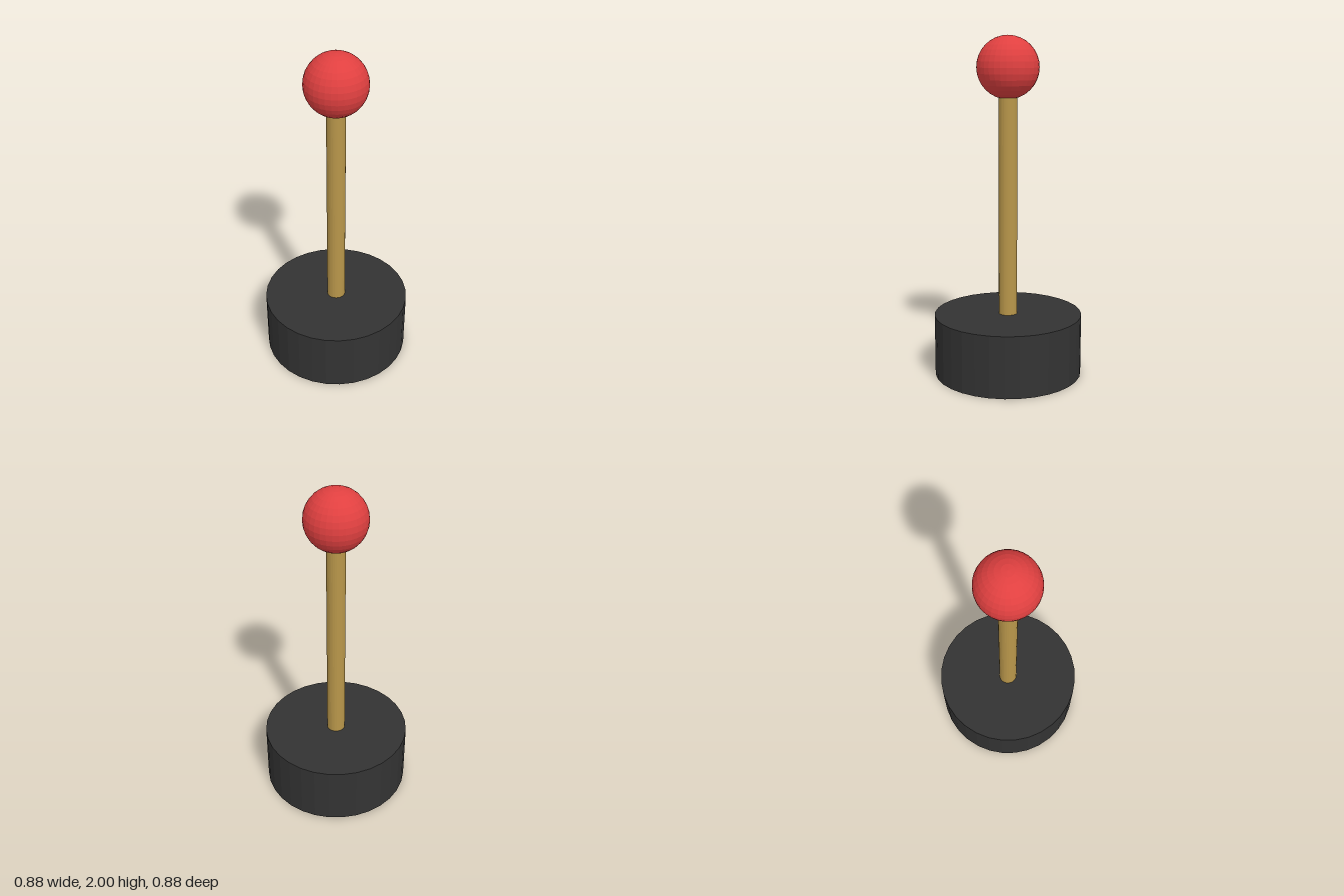
import * as THREE from 'three';

// Adds a flat-shaded coloured part at a given height
function addPart(group, name, geometry, color, y) {
  const material = new THREE.MeshStandardMaterial({ color, flatShading: true });
  const mesh = new THREE.Mesh(geometry, material);
  mesh.name = name;
  mesh.position.y = y;
  group.add(mesh);
}

export function createModel() {
  const group = new THREE.Group();
  group.name = 'leverWithBallKnob';

  const baseHeight = 0.365;
  const knobRadius = 0.181;
  const knobY = 2 - knobRadius;
  const rodTop = knobY - knobRadius + 0.02; // rod end sunk into the knob
  const rodHeight = rodTop - baseHeight;

  // Heavy round base
  addPart(group, 'base', new THREE.CylinderGeometry(0.438, 0.438, baseHeight, 32), 0x333333, baseHeight / 2);

  // Upright rod
  addPart(group, 'rod', new THREE.CylinderGeometry(0.055, 0.055, rodHeight, 32), 0xb8964a, baseHeight + rodHeight / 2);

  // Ball knob
  addPart(group, 'knob', new THREE.SphereGeometry(knobRadius, 32, 16), 0xe04040, knobY);

  return group;
}
